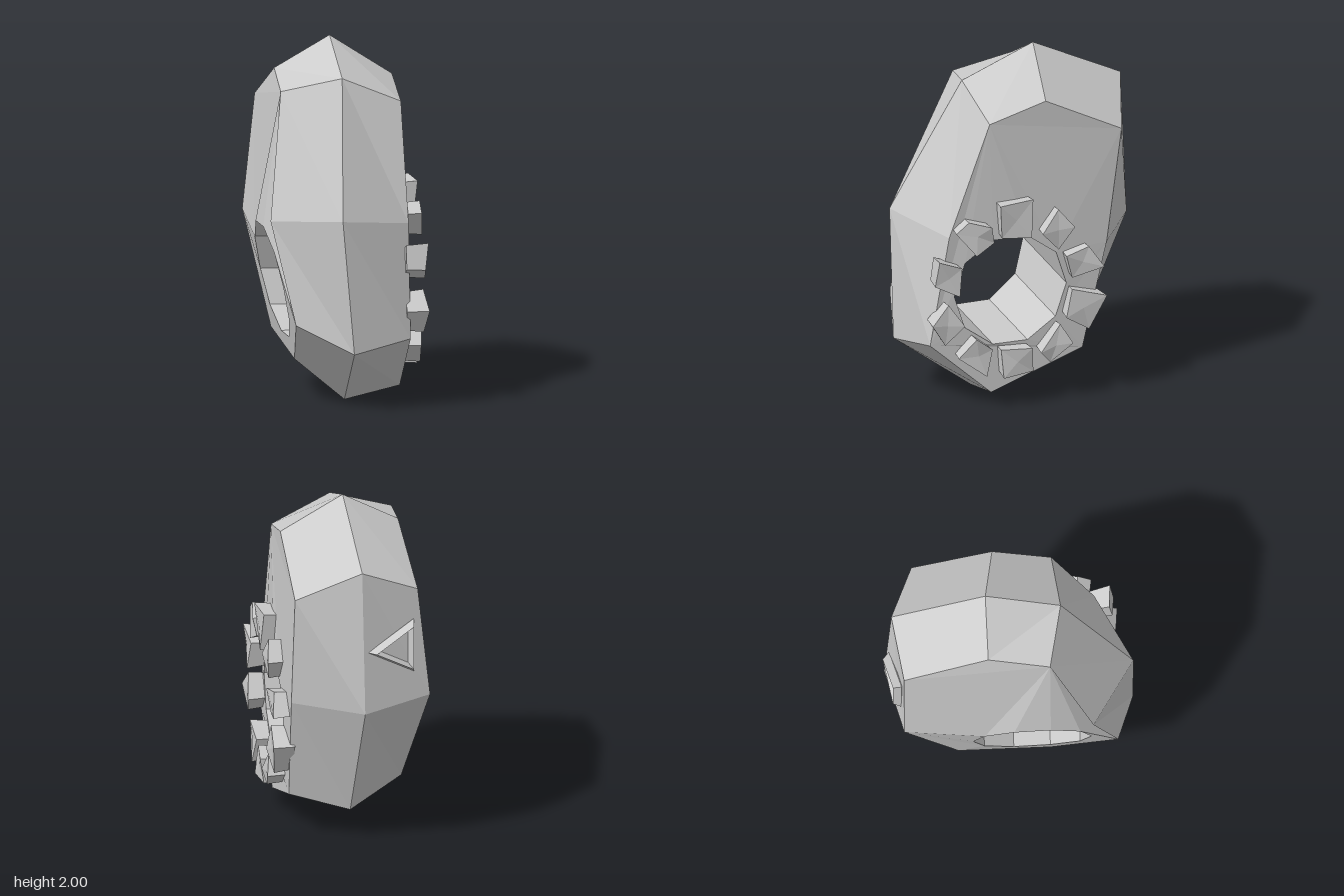
import * as THREE from 'three';

const stone = new THREE.MeshStandardMaterial({ color: 0xcccccc, flatShading: true });
stone.name = 'stone grey';

const V = (p) => new THREE.Vector3(...p);

// Eight-cornered cross-sections of the boulder, clockwise seen from +x
const rightRing = [
  [0.34, 1.68, 0.25], [0.345, 1.78, -0.08], [0.34, 1.555, -0.53], [0.345, 0.89, -0.44],
  [0.335, 0.27, -0.30], [0.335, 0.07, 0.24], [0.335, 0.395, 0.60], [0.342, 1.03, 0.49],
].map(V);
const ridgeRing = [
  [0, 1.825, 0.295], [0, 2, -0.125], [-0.02, 1.745, -0.65], [-0.03, 0.9, -0.69],
  [0, 0.18, -0.37], [0.02, 0, 0.25], [0, 0.33, 0.7], [-0.065, 1.085, 0.7],
].map(V);
const leftRing = [
  [-0.337, 1.75, 0.23], [-0.315, 1.825, -0.115], [-0.345, 1.6, -0.585], [-0.415, 0.95, -0.585],
  [-0.305, 0.33, -0.28], [-0.26, 0.235, 0.235], [-0.315, 0.49, 0.61], [-0.435, 1.06, 0.47],
].map(V);
const rightPole = V([0.365, 0.97, -0.02]);
const leftPole = V([-0.447, 0.97, -0.02]);

// Ten-sided hole outline, laid onto the fan of triangles between a pole and its ring
function holeRim(ring, pole) {
  const flat = (p) => new THREE.Vector3(0, p.y, p.z);
  return Array.from({ length: 10 }, (_, i) => {
    const a = (i / 10) * Math.PI * 2;
    const p = V([0, 0.675 + 0.33 * Math.sin(a), 0.13 + 0.33 * Math.cos(a)]);
    for (let k = 0; k < ring.length; k++) {
      const b = ring[k], c = ring[(k + 1) % ring.length], w = new THREE.Vector3();
      THREE.Triangle.getBarycoord(p, flat(pole), flat(b), flat(c), w);
      if (Math.min(w.x, w.y, w.z) > -1e-6) {
        p.x = w.x * pole.x + w.y * b.x + w.z * c.x;
        break;
      }
    }
    return p;
  });
}

// Strip of quads between two loops
function band(a, b, out) {
  a.forEach((p, i) => {
    const j = (i + 1) % a.length;
    out.push(p, a[j], b[j], p, b[j], b[i]);
  });
}

// Side face with the hole left open, facing along sign * x
function cap(ring, rim, sign, out) {
  const to2 = (p) => new THREE.Vector2(p.z, p.y);
  const pts = [...ring, ...rim];
  for (const f of THREE.ShapeUtils.triangulateShape(ring.map(to2), [rim.map(to2)])) {
    const [a, b, c] = f.map((i) => pts[i]);
    const n = b.clone().sub(a).cross(c.clone().sub(a));
    if (n.x * sign > 0) out.push(a, b, c);
    else out.push(a, c, b);
  }
}

function meshFrom(points, name) {
  const g = new THREE.BufferGeometry().setFromPoints(points);
  g.computeVertexNormals();
  const m = new THREE.Mesh(g, stone);
  m.name = name;
  return m;
}

// Outer corners (z, y) of the ten stones round the hole, clockwise seen from +x
const rimStones = [
  [[0.22, 1.22], [0.02, 1.23], [0.035, 1.01], [0.205, 1.02]],
  [[-0.13, 1.15], [-0.22, 1.04], [-0.13, 0.91], [-0.03, 1.02]],
  [[-0.17, 0.87], [-0.31, 0.905], [-0.395, 0.78], [-0.21, 0.73]],
  [[-0.21, 0.66], [-0.41, 0.605], [-0.31, 0.41], [-0.17, 0.50]],
  [[-0.02, 0.31], [-0.14, 0.46], [-0.21, 0.345], [-0.08, 0.24]],
  [[0.21, 0.35], [0.03, 0.345], [0.02, 0.20], [0.20, 0.185]],
  [[0.36, 0.44], [0.26, 0.36], [0.30, 0.21], [0.46, 0.33]],
  [[0.52, 0.66], [0.43, 0.53], [0.54, 0.42], [0.62, 0.55]],
  [[0.58, 0.93], [0.44, 0.87], [0.46, 0.71], [0.60, 0.78]],
  [[0.40, 1.14], [0.27, 1.10], [0.25, 1.00], [0.36, 0.94], [0.475, 1.08]],
];

export function createModel() {
  const model = new THREE.Group();
  model.name = 'holedBoulder';

  // Boulder shell, side faces and hole lining
  const rightRim = holeRim(rightRing, rightPole).reverse();
  const leftRim = holeRim(leftRing, leftPole).reverse();
  const shell = [], lining = [];
  band(rightRing, ridgeRing, shell);
  band(ridgeRing, leftRing, shell);
  cap(rightRing, rightRim, 1, shell);
  cap(leftRing, leftRim, -1, shell);
  // reversed rims run anticlockwise or clockwise; pick the order that faces the axis
  band(leftRim, rightRim, lining);
  const n = lining[1].clone().sub(lining[0]).cross(lining[2].clone().sub(lining[0]));
  const toAxis = V([0, 0.675, 0.13]).sub(lining[0]).setX(0);
  if (n.dot(toAxis) < 0) {
    for (let i = 0; i < lining.length; i += 3) [lining[i + 1], lining[i + 2]] = [lining[i + 2], lining[i + 1]];
  }
  model.add(meshFrom(shell, 'boulder'), meshFrom(lining, 'holeLining'));

  // Stones round the hole, slightly narrower at the base
  const stones = new THREE.Group();
  stones.name = 'rimStones';
  rimStones.forEach((corners, k) => {
    const outer = corners.map(([z, y], i) => V([0.44 - 0.02 * ((i + k) % 2), y, z]));
    const mid = outer.reduce((s, p) => s.add(p), new THREE.Vector3()).divideScalar(outer.length);
    const base = outer.map((p) => p.clone().lerp(mid, 0.1).setX(0.315));
    const pts = [];
    band(outer, base, pts);
    outer.forEach((p, i) => pts.push(mid, outer[(i + 1) % outer.length], p));
    const baseMid = mid.clone().setX(0.315);
    base.forEach((p, i) => pts.push(baseMid, p, base[(i + 1) % base.length]));
    stones.add(meshFrom(pts, 'rimStone'));
  });
  model.add(stones);

  // Raised triangular frame on the back
  const frame = new THREE.Mesh(new THREE.TorusGeometry(0.15, 0.035, 4, 3), stone);
  frame.name = 'triangleFrame';
  frame.scale.z = 1.3;
  frame.position.set(-0.23, 1.265, -0.62);
  frame.rotation.y = 0.237;
  model.add(frame);

  return model;
}
